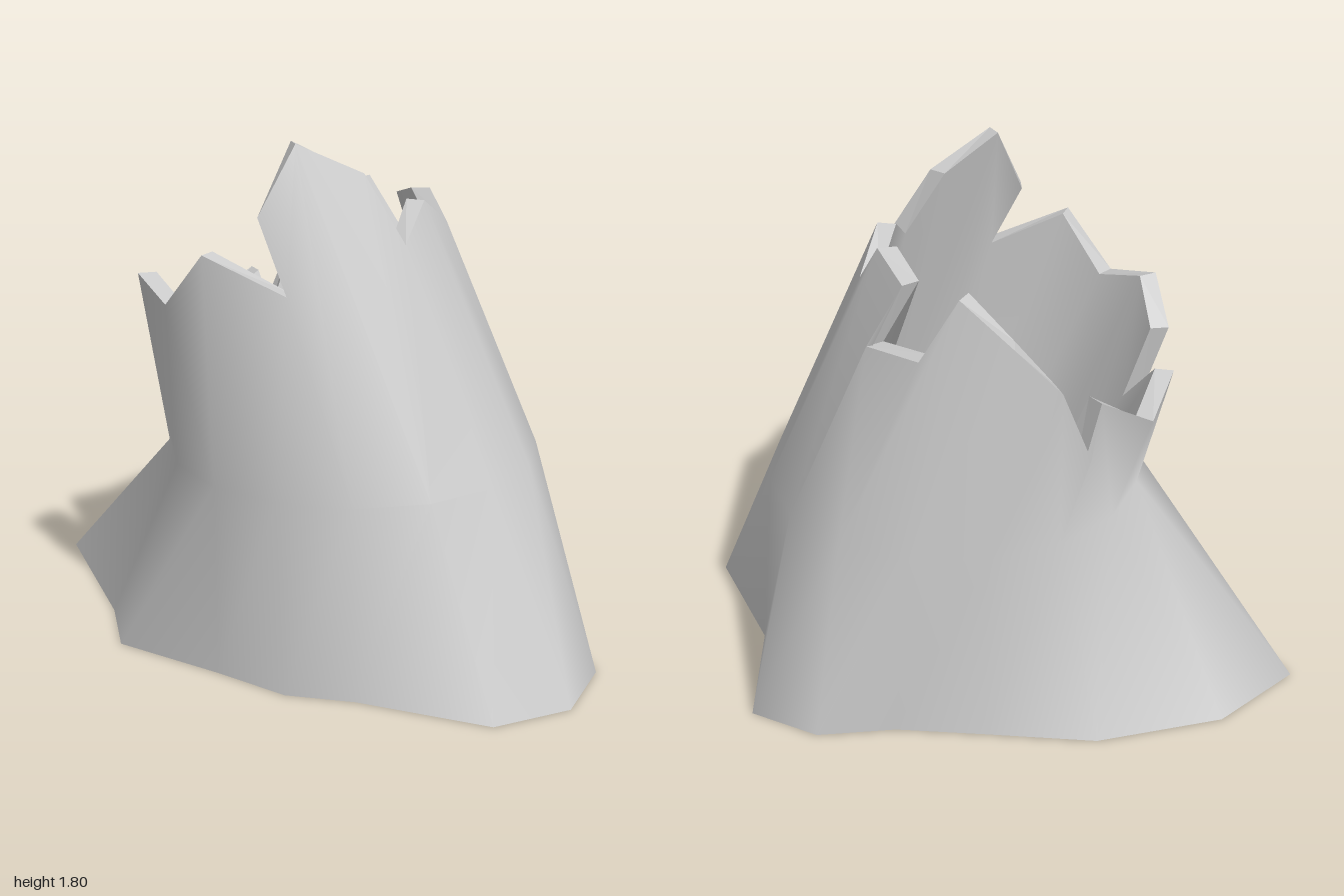
import * as THREE from 'three';

const SIDES = 16, MID_Y = 0.67, THICKNESS = 0.065;

// Root flare at ground level [x, z], starting at the front and turning towards +x
const BASE = [
  [0.18, 0.68], [0.63, 0.82], [0.89, 0.69], [1, 0.42], [0.86, -0.06], [0.915, -0.51],
  [0.7, -0.66], [0.43, -0.67], [0.13, -0.74], [-0.24, -0.83], [-0.69, -0.78], [-1, -0.57],
  [-0.74, 0.03], [-0.67, 0.3], [-0.3, 0.5], [-0.06, 0.645],
];

// Splintered rim [x, y, z], same direction; a trailing 1 marks an overhanging splinter tip
const RIM = [
  [-0.06, 1.33, 0.46], [-0.16, 1.57, 0.37, 1], [-0.04, 1.8, 0.31], [0.18, 1.69, 0.22],
  [0.32, 1.46, 0.26], [0.38, 1.57, 0.06], [0.46, 1.46, -0.14], [0.4, 1.57, -0.16],
  [0.34, 1.52, -0.36], [0.46, 1.31, -0.35], [0.31, 1.33, -0.53], [0.18, 1.54, -0.54],
  [0.02, 1.4, -0.63], [-0.13, 1.25, -0.66], [-0.24, 0.97, -0.6], [-0.27, 1.17, -0.59],
  [-0.47, 1.03, -0.48], [-0.58, 1.12, -0.3], [-0.53, 0.9, -0.05], [-0.61, 1.18, -0.09, 1],
  [-0.6, 1.31, 0.09], [-0.48, 1.25, 0.28], [-0.34, 1.45, 0.4],
];

// Axis of the leaning trunk at a given height
function axis(y) {
  const t = (y - MID_Y) / 0.75;
  return [0.14 - 0.21 * t, -0.03 - 0.08 * t];
}

function ring(cx, cz, radius, y) {
  return Array.from({ length: SIDES }, (_, k) => {
    const a = (k / SIDES) * Math.PI * 2 + 0.04;
    return [cx + radius * Math.sin(a), y, cz + radius * Math.cos(a)];
  });
}

// Angles of a loop around the trunk axis, unwrapped so they keep rising
function angles(loop) {
  let last = 0;
  const out = loop.map(([x, y, z]) => {
    const [cx, cz] = axis(y);
    let a = Math.atan2(x - cx, z - cz);
    while (a < last - Math.PI) a += Math.PI * 2;
    last = a;
    return a;
  });
  out.push(out[0] + Math.PI * 2);
  return out;
}

// Triangles joining two loops that may differ in point count
function stitch(lower, upper, lowIds, upIds) {
  const la = angles(lower), ua = angles(upper), tris = [];
  const n = lower.length, m = upper.length;
  let i = 0, j = 0;
  while (i < n || j < m) {
    const l = lowIds[i % n], u = upIds[j % m];
    if (j >= m || (i < n && la[i + 1] <= ua[j + 1])) tris.push([l, lowIds[++i % n], u]);
    else tris.push([l, upIds[++j % m], u]);
  }
  return tris;
}

function meshFrom(name, points, tris, material, flip = false) {
  const geo = new THREE.BufferGeometry();
  geo.setAttribute('position', new THREE.Float32BufferAttribute(points.flatMap(p => p.slice(0, 3)), 3));
  geo.setIndex(tris.flatMap(([a, b, c]) => (flip ? [a, c, b] : [a, b, c])));
  geo.computeVertexNormals();
  const mesh = new THREE.Mesh(geo, material);
  mesh.name = name;
  return mesh;
}

// Wall from a ring up to the jagged rim; overhanging tips become extra triangles
function rimTriangles(lower, rim, lowStart, rimStart) {
  const ids = rim.map((_, i) => i).filter(i => !RIM[i][3]);
  const tris = stitch(lower, ids.map(i => rim[i]),
    lower.map((_, i) => lowStart + i), ids.map(i => rimStart + i));
  RIM.forEach((p, i) => {
    if (p[3]) tris.push([rimStart + i - 1, rimStart + i + 1, rimStart + i]);
  });
  return tris;
}

export function createModel() {
  const group = new THREE.Group();
  group.name = 'hollowStump';
  const wood = new THREE.MeshStandardMaterial({ color: 0xcccccc, side: THREE.DoubleSide });
  const cutWood = wood.clone();
  cutWood.flatShading = true;

  const outerRim = RIM.map(p => p.slice(0, 3));
  const innerRim = outerRim.map(([x, y, z]) => {
    const [cx, cz] = axis(y);
    const k = 1 - THICKNESS / Math.hypot(x - cx, z - cz);
    return [cx + (x - cx) * k, y, cz + (z - cz) * k];
  });

  // Outer wall: root flare, then leaning trunk
  const base = BASE.map(([x, z]) => [x, 0, z]);
  const middle = ring(0.14, -0.03, 0.66, MID_Y);
  const barkTris = [];
  for (let i = 0; i < SIDES; i++) {
    const n = (i + 1) % SIDES;
    barkTris.push([i, n, SIDES + n], [i, SIDES + n, SIDES + i]);
  }
  barkTris.push(...rimTriangles(middle, outerRim, SIDES, SIDES * 2));
  group.add(meshFrom('outerBark', [...base, ...middle, ...outerRim], barkTris, wood));

  // Inner wall of the hollow
  const floorRing = ring(0.13, -0.03, 0.475, MID_Y);
  group.add(meshFrom('innerWall', [...floorRing, ...innerRim],
    rimTriangles(floorRing, innerRim, 0, SIDES), wood, true));

  // Floor of the hollow
  const floorTris = floorRing.map((_, i) => [SIDES, i, (i + 1) % SIDES]);
  group.add(meshFrom('hollowFloor', [...floorRing, [0.13, MID_Y, -0.03]], floorTris, cutWood));

  // Broken edge joining the outer and inner walls
  const n = RIM.length, edgeTris = [];
  for (let i = 0; i < n; i++) {
    const k = (i + 1) % n;
    edgeTris.push([i, k, n + k], [i, n + k, n + i]);
  }
  group.add(meshFrom('brokenRim', [...outerRim, ...innerRim], edgeTris, cutWood));

  return group;
}
